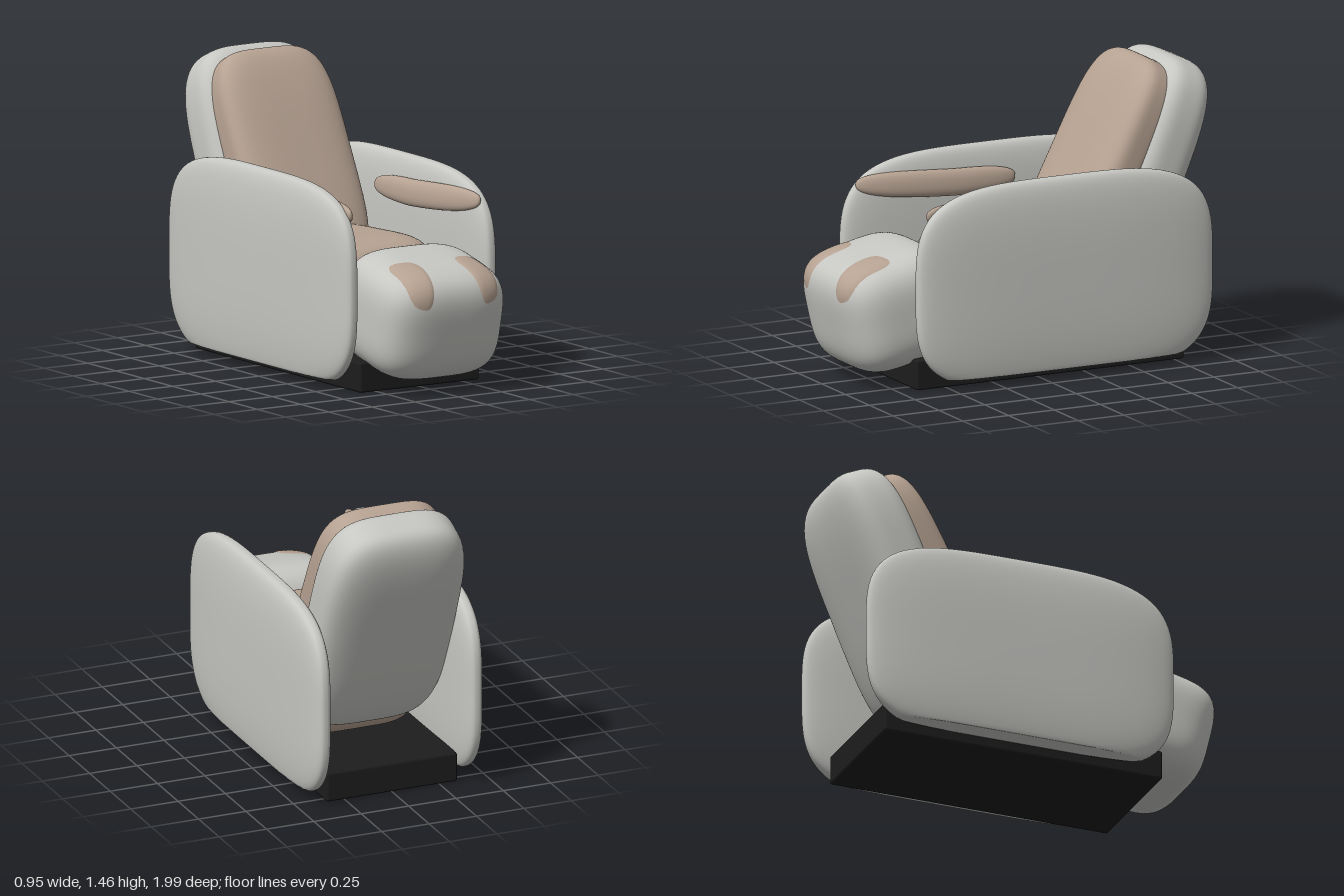
import * as THREE from 'three';
import { mergeVertices } from 'three/addons/utils/BufferGeometryUtils.js';
import { RoundedBoxGeometry } from 'three/addons/geometries/RoundedBoxGeometry.js';

const paint = (name, color) => {
  const m = new THREE.MeshStandardMaterial({ color });
  m.name = name;
  return m;
};

// Superellipsoid cushion: n rounds the x-y outline, m rounds the z thickness.
// The optional rule moves each vertex afterwards.
function pillow(w, h, d, n = 4, m = n, rule = null) {
  let geo = new THREE.BoxGeometry(2, 2, 2, 28, 28, 28);
  geo.deleteAttribute('uv');
  geo.deleteAttribute('normal');
  geo = mergeVertices(geo);
  const pos = geo.attributes.position;
  const p = new THREE.Vector3();
  for (let i = 0; i < pos.count; i++) {
    p.fromBufferAttribute(pos, i);
    const flat = (Math.abs(p.x) ** n + Math.abs(p.y) ** n) ** (1 / n);
    const norm = (flat ** m + Math.abs(p.z) ** m) ** (1 / m);
    p.divideScalar(norm).multiply(new THREE.Vector3(w / 2, h / 2, d / 2));
    if (rule) rule(p);
    pos.setXYZ(i, p.x, p.y, p.z);
  }
  geo.computeVertexNormals();
  return geo;
}

// Patch that hugs the upper front of a cushion with exponent n
function surfacePatch(w, h, d, n, side) {
  const geo = new THREE.PlaneGeometry(2, 2, 20, 20);
  const pos = geo.attributes.position;
  for (let i = 0; i < pos.count; i++) {
    let s = pos.getX(i), t = pos.getY(i);
    const edge = Math.max(Math.abs(s), Math.abs(t));
    const k = edge / ((Math.abs(s) ** 3.5 + Math.abs(t) ** 3.5) ** (1 / 3.5) || 1);
    s *= k;
    t *= k;
    // narrower and further out towards the lower end
    const x = 0.185 + 0.083 * s * (0.86 + 0.14 * t) - 0.012 * t + 0.004;
    const phi = THREE.MathUtils.degToRad(57 + 31 * t + 4 * s * side * side);
    const room = 1 - (x / (w / 2)) ** n;
    const c = Math.cos(phi), q = Math.sin(phi);
    const r = (room / (Math.abs(q / (h / 2)) ** n + Math.abs(c / (d / 2)) ** n)) ** (1 / n);
    const lift = 1 + 0.022 * (1 - edge ** 6) - 0.002;
    pos.setXYZ(i, side * x, r * q * lift, r * c * lift);
  }
  geo.computeVertexNormals();
  return geo;
}

export function createModel() {
  const model = new THREE.Group();
  model.name = 'reclinerChair';
  const shellGrey = paint('shellGrey', 0xc6c7c2);
  const cushionTan = paint('cushionTan', 0xb6a292);
  const baseBlack = paint('baseBlack', 0x1d1d1d);
  const patchTan = cushionTan;

  const add = (name, geo, mat, x, y, z, tilt = 0, parent = model) => {
    const mesh = new THREE.Mesh(geo, mat);
    mesh.name = name;
    mesh.position.set(x, y, z);
    mesh.rotation.x = tilt;
    parent.add(mesh);
    return mesh;
  };

  // Plinth
  add('base', new RoundedBoxGeometry(0.69, 0.15, 1.46, 2, 0.012), baseBlack, 0, 0.075, -0.07);

  // Seat and reclined back
  add('seat', pillow(0.66, 0.5, 0.86, 4.5), cushionTan, 0, 0.41, -0.03, -0.04);
  add('backShell', pillow(0.73, 1.26, 0.34, 4, 3.6), shellGrey, 0, 0.86, -0.66, -0.4);
  add('backCushion', pillow(0.66, 1.14, 0.26, 4.2, 3.6), cushionTan, 0, 0.935, -0.495, -0.475);

  // Footrest block with two calf patches
  const footrest = new THREE.Group();
  footrest.name = 'footrest';
  footrest.position.set(0, 0.372, 0.68);
  footrest.rotation.x = 0.227;
  model.add(footrest);
  const foot = [0.7, 0.566, 0.6, 3.7];
  add('footrestBlock', pillow(...foot), shellGrey, 0, 0, 0, 0, footrest);

  for (const side of [1, -1]) {
    const label = side > 0 ? 'left' : 'right';

    const patch = surfacePatch(...foot, side);
    // mirrored patch needs its corner order reversed
    if (side < 0) {
      const idx = patch.index;
      for (let i = 0; i < idx.count; i += 3) {
        const a = idx.getX(i);
        idx.setX(i, idx.getX(i + 2));
        idx.setX(i + 2, a);
      }
      patch.computeVertexNormals();
    }
    add(label + 'CalfPatch', patch, patchTan, 0, 0, 0, 0, footrest);

    // Side panel: flat padded slab, cut level along its underside
    const panel = pillow(1.61, 1.02, 0.15, 3.7, 3, (p) => { p.y = Math.max(p.y, -0.44); });
    add(label + 'SidePanel', panel, shellGrey, side * 0.4, 0.49, -0.115).rotation.y = Math.PI / 2;

    // Armrest: slim pad curving outwards and up at the front
    const arm = pillow(0.07, 0.13, 0.84, 2.3, 2.8, (p) => {
      const f = Math.max(0, (p.z + 0.1) / 0.52);
      p.x += side * (0.052 * f * f - 0.12 * (p.y - 0.02) * -1 * 0.9);
      p.y += 0.03 * f;
    });
    add(label + 'Armrest', arm, cushionTan, side * 0.322, 0.838, 0.2);
  }

  return model;
}
